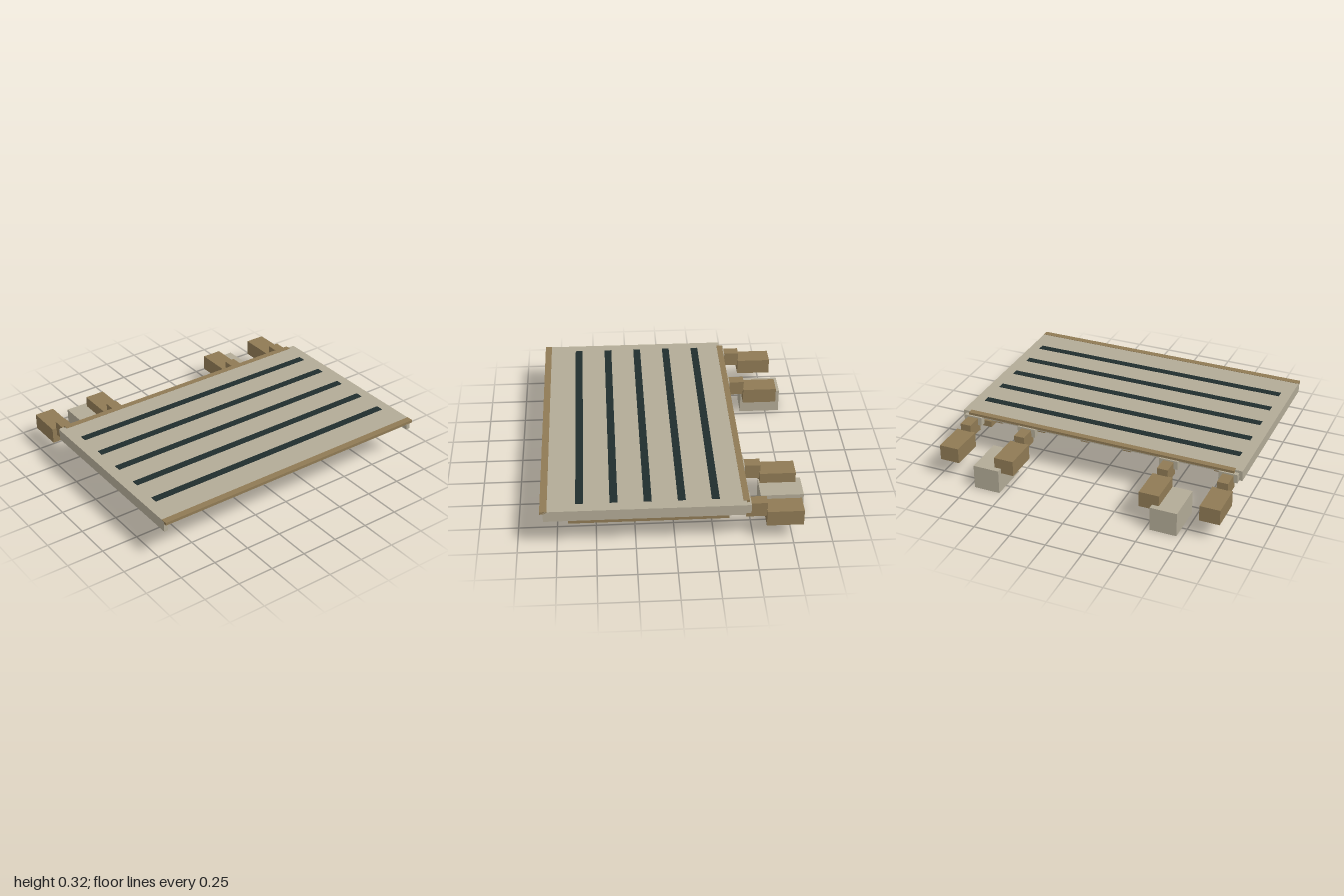
import * as THREE from 'three';

export function createModel() {
  const model = new THREE.Group();
  model.name = 'slottedPlatform';

  const material = (name, color) => {
    const m = new THREE.MeshStandardMaterial({ color });
    m.name = name;
    return m;
  };
  const stone = material('paleStone', 0xb2aa96);
  const wood = material('brownWood', 0x8f7a54);
  const dark = material('darkSlot', 0x1f2d2d);

  // Box given by its minimum and maximum on each axis
  const box = (name, mat, [x0, x1], [y0, y1], [z0, z1]) => {
    const mesh = new THREE.Mesh(new THREE.BoxGeometry(x1 - x0, y1 - y0, z1 - z0), mat);
    mesh.position.set((x0 + x1) / 2, (y0 + y1) / 2, (z0 + z1) / 2);
    mesh.name = name;
    model.add(mesh);
  };
  const around = (c, half) => [c - half, c + half];

  // Deck slab with a trim strip along each long edge
  box('deck', stone, [-0.445, 0.825], [0.278, 0.314], [-1, 1]);
  box('outerTrim', wood, [0.8, 0.845], [0.297, 0.316], [-1, 1]);
  box('innerTrim', wood, [-0.465, -0.425], [0.299, 0.316], [-0.95, 0.95]);

  // Dark slots inlaid in the deck
  for (let i = 0; i < 5; i++) {
    box('slot', dark, around(-0.254 + i * 0.213, 0.025), [0.312, 0.317], [-0.926, 0.926]);
  }

  for (const s of [-1, 1]) {
    // End skirts, and low runners beside the outer joists
    box('endSkirt', stone, [-0.44, 0.825], [0.24, 0.312], around(s * 0.986, 0.014));
    box('runner', wood, [-0.345, 0.675], [0.156, 0.2], around(s * 0.884, 0.036));

    // Joists under the deck
    for (const z of [0.155, 0.478, 0.8]) {
      box('joist', wood, [-0.32, 0.655], [0.187, 0.28], around(s * z, 0.03));
    }

    // Jointed brackets: plate, arm and end block
    for (const z of [0.51, 0.914]) {
      box('bracketPlate', stone, [-0.475, -0.435], [0.237, 0.298], around(s * z, 0.064));
      box('bracketArm', wood, [-0.58, -0.445], [0.187, 0.288], around(s * z, 0.037));
      box('bracketBlock', wood, [-0.81, -0.575], [0.133, 0.24], around(s * z, 0.068));
    }

    // Foot block
    box('footBlock', stone, [-0.847, -0.567], [0, 0.167], around(s * 0.623, 0.091));
  }
  return model;
}
